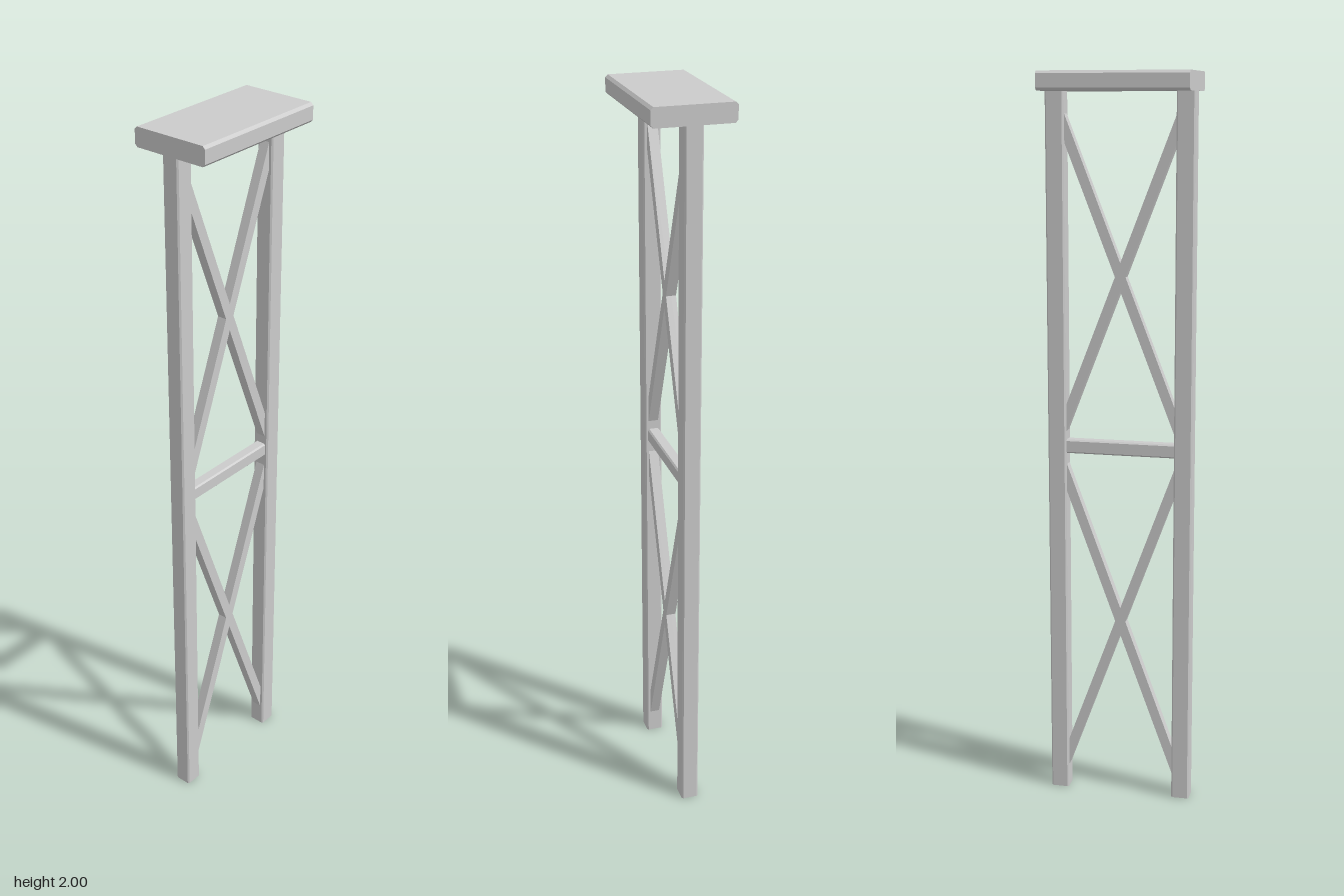
import * as THREE from 'three';

const material = new THREE.MeshStandardMaterial({ color: 0xcccccc, flatShading: true });

// Beam of given length along local z, with a chamfered w x h cross-section
function beam(name, w, h, length, chamfer) {
  const a = w / 2, b = h / 2, c = chamfer;
  const corners = [
    [a, -b + c], [a, b - c], [a - c, b], [-a + c, b],
    [-a, b - c], [-a, -b + c], [-a + c, -b], [a - c, -b],
  ];
  const shape = new THREE.Shape(corners.map(([x, y]) => new THREE.Vector2(x, y)));
  const geometry = new THREE.ExtrudeGeometry(shape, { depth: length, bevelEnabled: false });
  geometry.translate(0, 0, -length / 2);
  const mesh = new THREE.Mesh(geometry, material);
  mesh.name = name;
  return mesh;
}

export function createModel() {
  const model = new THREE.Group();
  model.name = 'trestle';

  // Cap slab across the top
  const cap = beam('cap', 0.216, 0.05, 0.4, 0.007);
  cap.rotation.y = Math.PI / 2;
  cap.position.y = 1.975;
  model.add(cap);

  // Two upright posts
  for (const side of [-1, 1]) {
    const post = beam(side > 0 ? 'leftPost' : 'rightPost', 0.05, 0.048, 1.95, 0.004);
    post.rotation.x = -Math.PI / 2;
    post.position.set(side * 0.175, 0.975, 0);
    model.add(post);
  }

  // Middle rail between the posts
  const rail = beam('middleRail', 0.032, 0.038, 0.31, 0.004);
  rail.rotation.y = Math.PI / 2;
  rail.position.y = 1.004;
  model.add(rail);

  // Crossed braces in the lower and upper bays
  const bays = [['lower', 0.51, 2.7], ['upper', 1.47, 2.57]];
  for (const [bay, y, slope] of bays) {
    const angle = Math.atan(slope);
    const length = 0.33 / Math.cos(angle);
    for (const side of [-1, 1]) {
      const brace = new THREE.Mesh(new THREE.BoxGeometry(length, 0.027, 0.027), material);
      brace.name = bay + (side > 0 ? 'RisingBrace' : 'FallingBrace');
      brace.rotation.z = side * angle;
      brace.position.y = y;
      model.add(brace);
    }
  }
  return model;
}
